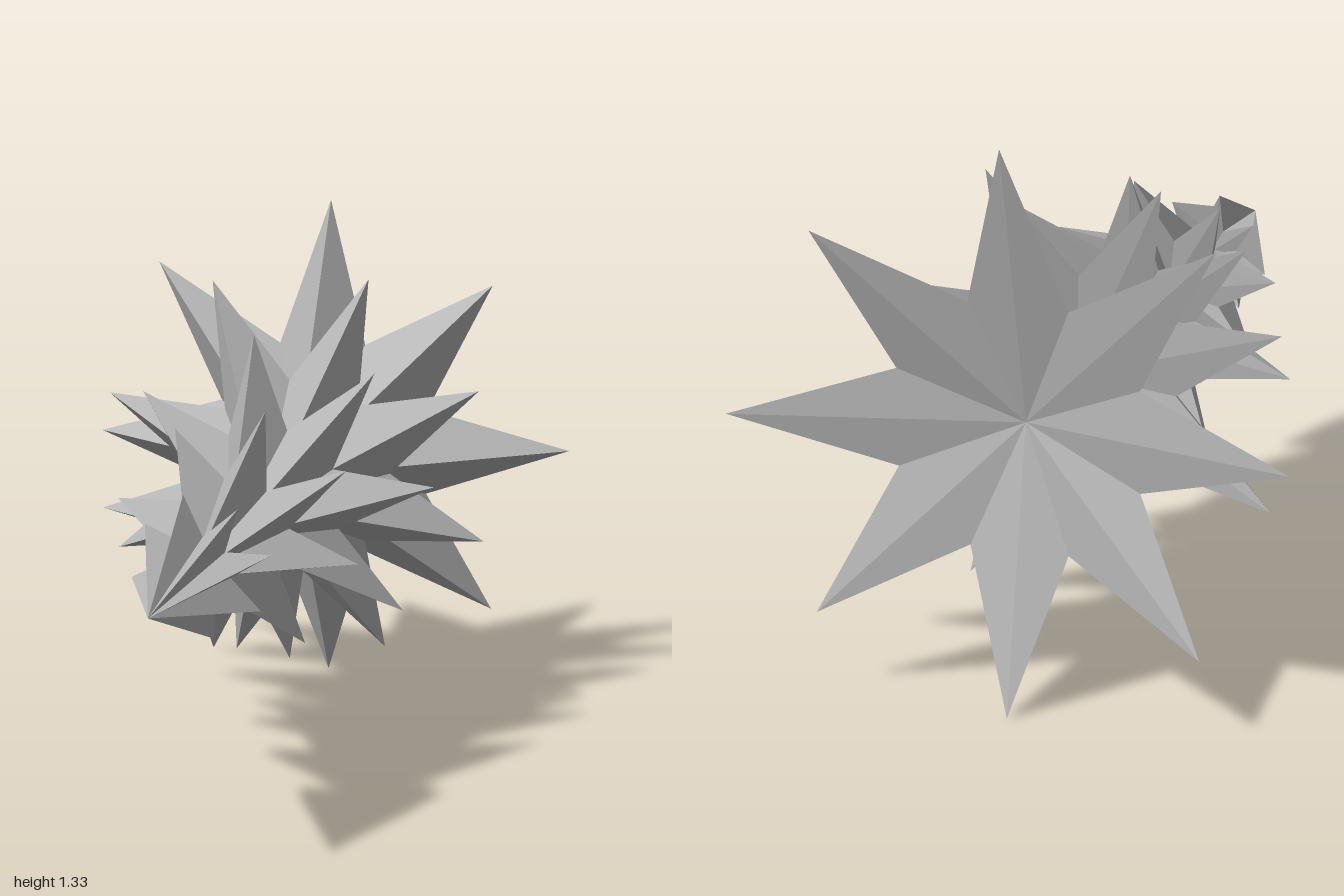
import * as THREE from 'three';

const CX = -0.005, CY = 0.657; // the shared axis, running along z

// Star-shaped cone: a front apex, a zigzag rim of tips and valleys, and a hollow back.
// Tips are [x, y] pairs listed clockwise as seen from the front.
function starCone(tips, apexZ, tipZ, radius) {
  const apex = [CX, CY, apexZ];
  const hollow = [CX, CY, tipZ + radius * 0.23];
  const rim = [];
  tips.forEach(([x, y], i) => {
    const [nx, ny] = tips[(i + 1) % tips.length];
    const dx = (x + nx) / 2 - CX, dy = (y + ny) / 2 - CY;
    const k = (radius * 0.47) / Math.hypot(dx, dy);
    rim.push([x, y, tipZ], [CX + dx * k, CY + dy * k, tipZ + radius * 0.15]);
  });
  const points = [];
  rim.forEach((p, i) => {
    const q = rim[(i + 1) % rim.length];
    points.push(...apex, ...q, ...p, ...hollow, ...p, ...q);
  });
  const geometry = new THREE.BufferGeometry();
  geometry.setAttribute('position', new THREE.Float32BufferAttribute(points, 3));
  geometry.computeVertexNormals();
  return geometry;
}

export function createModel() {
  const group = new THREE.Group();
  group.name = 'tieredStarTree';
  const grey = new THREE.MeshStandardMaterial({ color: 0xb4b4b4 });
  grey.name = 'grey';
  grey.flatShading = true;

  // Tiers from the pointed front to the wide back
  const tiers = [
    { name: 'tipTier', apexZ: 1, tipZ: 0.52, radius: 0.17,
      tips: [[-0.045, 0.828], [0.085, 0.8], [0.165, 0.695], [0.14, 0.56],
        [0.03, 0.487], [-0.1, 0.525], [-0.17, 0.625], [-0.137, 0.755]] },
    { name: 'upperTier', apexZ: 0.62, tipZ: 0.14, radius: 0.3,
      tips: [[0.065, 0.957], [0.265, 0.82], [0.295, 0.59], [0.165, 0.385],
        [-0.065, 0.36], [-0.26, 0.495], [-0.305, 0.725], [-0.16, 0.905]] },
    { name: 'middleTier', apexZ: 0.24, tipZ: -0.24, radius: 0.42,
      tips: [[-0.05, 1.077], [0.26, 0.99], [0.415, 0.705], [0.34, 0.38],
        [0.045, 0.237], [-0.275, 0.315], [-0.45, 0.61], [-0.34, 0.92]] },
    { name: 'lowerTier', apexZ: -0.14, tipZ: -0.615, radius: 0.54,
      tips: [[0.172, 1.17], [0.468, 0.885], [0.487, 0.482], [0.225, 0.18],
        [-0.183, 0.15], [-0.51, 0.415], [-0.532, 0.84], [-0.247, 1.153]] },
    { name: 'baseTier', apexZ: -0.51, tipZ: -1, radius: 0.66,
      tips: [[-0.007, 1.325], [0.442, 1.105], [0.66, 0.656], [0.452, 0.2],
        [-0.007, 0], [-0.46, 0.2], [-0.66, 0.656], [-0.492, 1.14]] },
  ];
  for (const { name, tips, apexZ, tipZ, radius } of tiers) {
    const mesh = new THREE.Mesh(starCone(tips, apexZ, tipZ, radius), grey);
    mesh.name = name;
    group.add(mesh);
  }
  return group;
}
